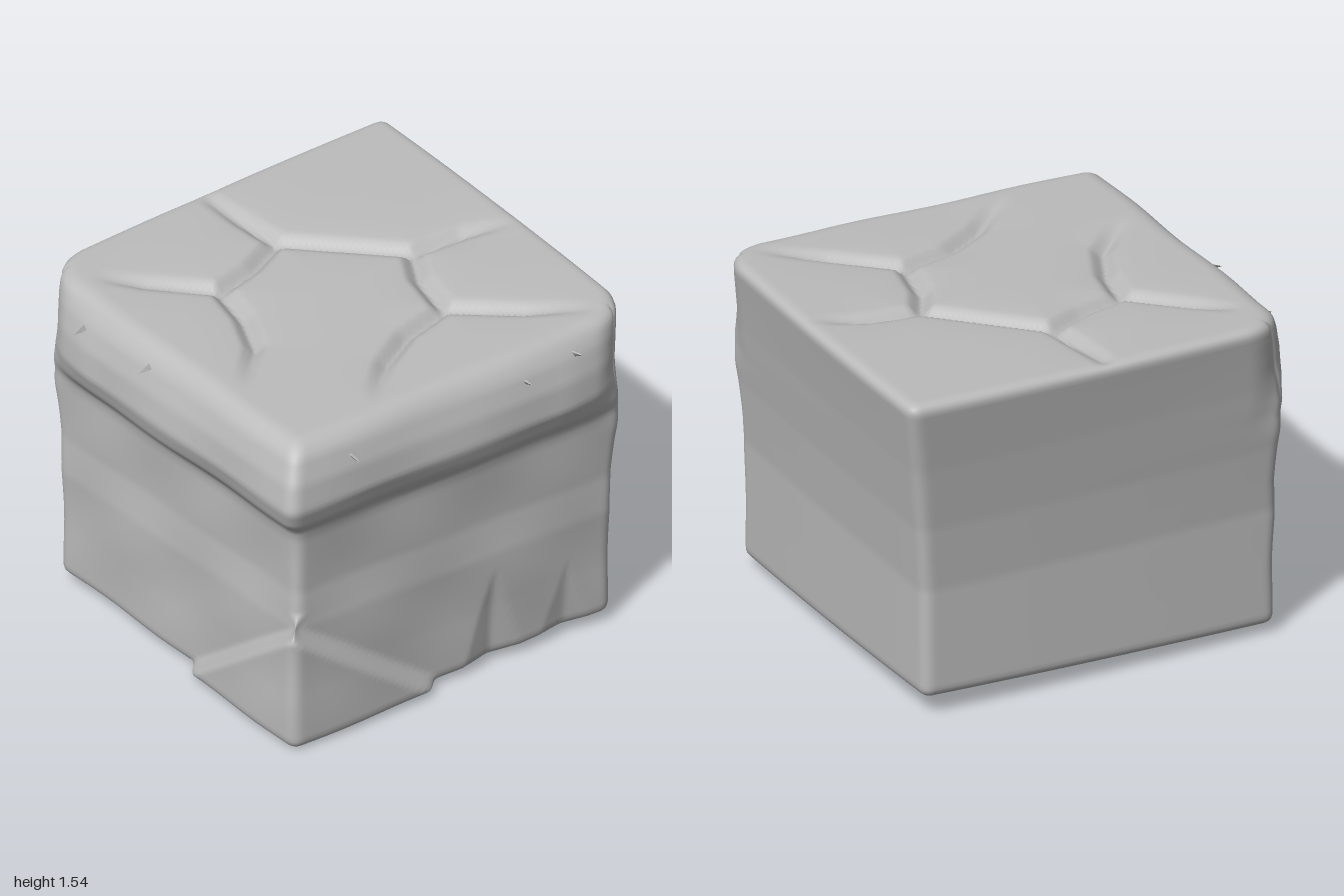
import * as THREE from 'three';
import { mergeVertices } from 'three/addons/utils/BufferGeometryUtils.js';

const { clamp, lerp, smoothstep } = THREE.MathUtils;

// Height and outward distance of the worn sides, and of the plain cut sides
const WORN = [[0, 0.85], [0.3, 0.855], [0.56, 0.865], [0.73, 0.855], [1.0, 0.87], [1.05, 0.88], [1.11, 0.935],
  [1.2, 0.965], [1.32, 0.95], [1.42, 0.915], [1.47, 0.88], [1.55, 0.83]];
const CUT = [[0, 0.86], [0.6, 0.865], [0.9, 0.895], [1.2, 0.94], [1.5, 0.995], [1.6, 1.005]];

// Cracks between the top stones; the third number is the depth at that point
const CRACKS = [
  [[-0.75, -0.72, 0], [-0.6, -0.56, 0.7], [-0.37, -0.33, 1], [-0.15, -0.39, 1], [0.05, -0.49, 1]],
  [[0.02, -0.9, 0.4], [0.03, -0.7, 0.8], [0.05, -0.49, 1], [0.25, -0.29, 1], [0.46, -0.08, 1]],
  [[0.9, 0.0, 0.1], [0.7, -0.06, 0.8], [0.46, -0.08, 1], [0.36, 0.1, 1], [0.3, 0.36, 1]],
  [[0.77, 0.75, 0.1], [0.55, 0.58, 0.8], [0.3, 0.36, 1], [0.05, 0.43, 1], [-0.15, 0.55, 0.9], [-0.36, 0.74, 0.1]],
  [[-0.37, -0.33, 1], [-0.42, -0.1, 1], [-0.52, 0.12, 0.9], [-0.72, 0.32, 0.1]],
];

function sample(profile, y) {
  for (let i = 1; i < profile.length; i++) {
    const [y0, d0] = profile[i - 1], [y1, d1] = profile[i];
    if (y <= y1) return lerp(d0, d1, clamp((y - y0) / (y1 - y0), 0, 1));
  }
  return profile[profile.length - 1][1];
}

function crackDepth(x, z) {
  let deepest = 0;
  for (const line of CRACKS) {
    for (let i = 1; i < line.length; i++) {
      const [ax, az, a] = line[i - 1], [bx, bz, b] = line[i];
      const dx = bx - ax, dz = bz - az;
      const t = clamp(((x - ax) * dx + (z - az) * dz) / (dx * dx + dz * dz), 0, 1);
      const d = Math.hypot(x - ax - t * dx, z - az - t * dz);
      deepest = Math.max(deepest, lerp(a, b, t) * (0.042 * Math.max(0, 1 - d / 0.055) + 0.02 * Math.exp(-d / 0.1)));
    }
  }
  return deepest;
}

// Outward distance of a worn side; s runs from -1 at the shared front corner to 1
function wornSide(y, s) {
  const base = sample(WORN, y);
  const lip = Math.max(0, base - 0.87) * 0.6 * smoothstep(s, 0.55, 1);
  const edge = 0.56 - 0.62 * (s + 0.9);
  const foot = 0.075 * smoothstep(edge - y, -0.01, 0.07);
  const ripple = 0.006 * Math.sin(s * 7 + y * 4) * Math.sin(y * 9 + 1);
  return base - lip + foot + ripple;
}

// Shallow chips at the foot of the front wall
function chips(x, y) {
  const chip = (cx, h, w) => Math.max(0, 1 - y / h - Math.abs(x - cx) / w);
  return 0.04 * chip(0.24, 0.5, 0.17) + 0.025 * chip(0.62, 0.4, 0.15);
}

function blockGeometry() {
  let geo = new THREE.BoxGeometry(2, 2, 2, 96, 72, 96);
  geo.deleteAttribute('normal');
  geo.deleteAttribute('uv');
  geo = mergeVertices(geo, 1e-4);
  const pos = geo.attributes.position, p = new THREE.Vector3(), q = new THREE.Vector3();
  const r = 0.06;
  for (let i = 0; i < pos.count; i++) {
    p.fromBufferAttribute(pos, i);
    const topFace = p.y > 0.999;
    // Soft edges all round
    q.copy(p).clampScalar(r - 1, 1 - r);
    p.sub(q).normalize().multiplyScalar(r).add(q);
    let { x: a, y: b, z: c } = p;
    const y0 = 0.005 + 0.0225 * (a + 1 + 1 - c);
    const y1 = 1.478 + 0.0175 * (a + 1 + 1 - c);
    let y = lerp(y0, y1, (b + 1) / 2);
    // Wide rounding at the two far ends of the lip
    const size = 0.24, k = a * c > 0 ? smoothstep(y, 0.95, 1.3) : 0;
    const e = Math.max(0, Math.abs(a) - 1 + size), f = Math.max(0, Math.abs(c) - 1 + size);
    if (k && e && f) {
      const m = lerp(1, Math.max(e, f) / Math.hypot(e, f), k);
      a = Math.sign(a) * (1 - size + e * m);
      c = Math.sign(c) * (1 - size + f * m);
    }
    // Place between the worn and the cut sides
    const taper = 0.045 + 0.02 * smoothstep(y, 0.9, 1.5);
    const cut = sample(CUT, y);
    const right = cut - taper * ((c + 1) / 2) ** 2;
    const back = cut - taper * ((1 - a) / 2) ** 2;
    const x = lerp(-wornSide(y, -c), right, (a + 1) / 2);
    const z = lerp(-back, wornSide(y, a) - chips(a * 0.86, y), (c + 1) / 2);
    if (topFace) y -= crackDepth(x, z);
    pos.setXYZ(i, x, y, z);
  }
  geo.computeVertexNormals();
  return geo;
}

export function createModel() {
  const group = new THREE.Group();
  const stone = new THREE.MeshStandardMaterial({ color: 0xbcbcbc });
  stone.name = 'grey stone';

  const block = new THREE.Mesh(blockGeometry(), stone);
  block.name = 'stoneBlock';
  group.add(block);

  // Tiny splinters on the lip: position, then direction
  const splinters = [
    [-0.62, 1.37, 0.94, 0, -0.3, 1], [0.3, 1.4, 0.92, 0.2, -0.1, 1], [0.58, 1.43, 0.91, 0.2, 0.1, 1],
    [-0.93, 1.39, -0.55, -1, -0.3, -0.2], [-0.93, 1.41, -0.1, -1, -0.2, -0.1],
  ];
  const up = new THREE.Vector3(0, 1, 0);
  for (const [x, y, z, dx, dy, dz] of splinters) {
    const splinter = new THREE.Mesh(new THREE.ConeGeometry(0.025, 0.09, 3), stone);
    splinter.name = 'splinter';
    splinter.position.set(x, y, z);
    splinter.quaternion.setFromUnitVectors(up, new THREE.Vector3(dx, dy, dz).normalize());
    group.add(splinter);
  }
  return group;
}
